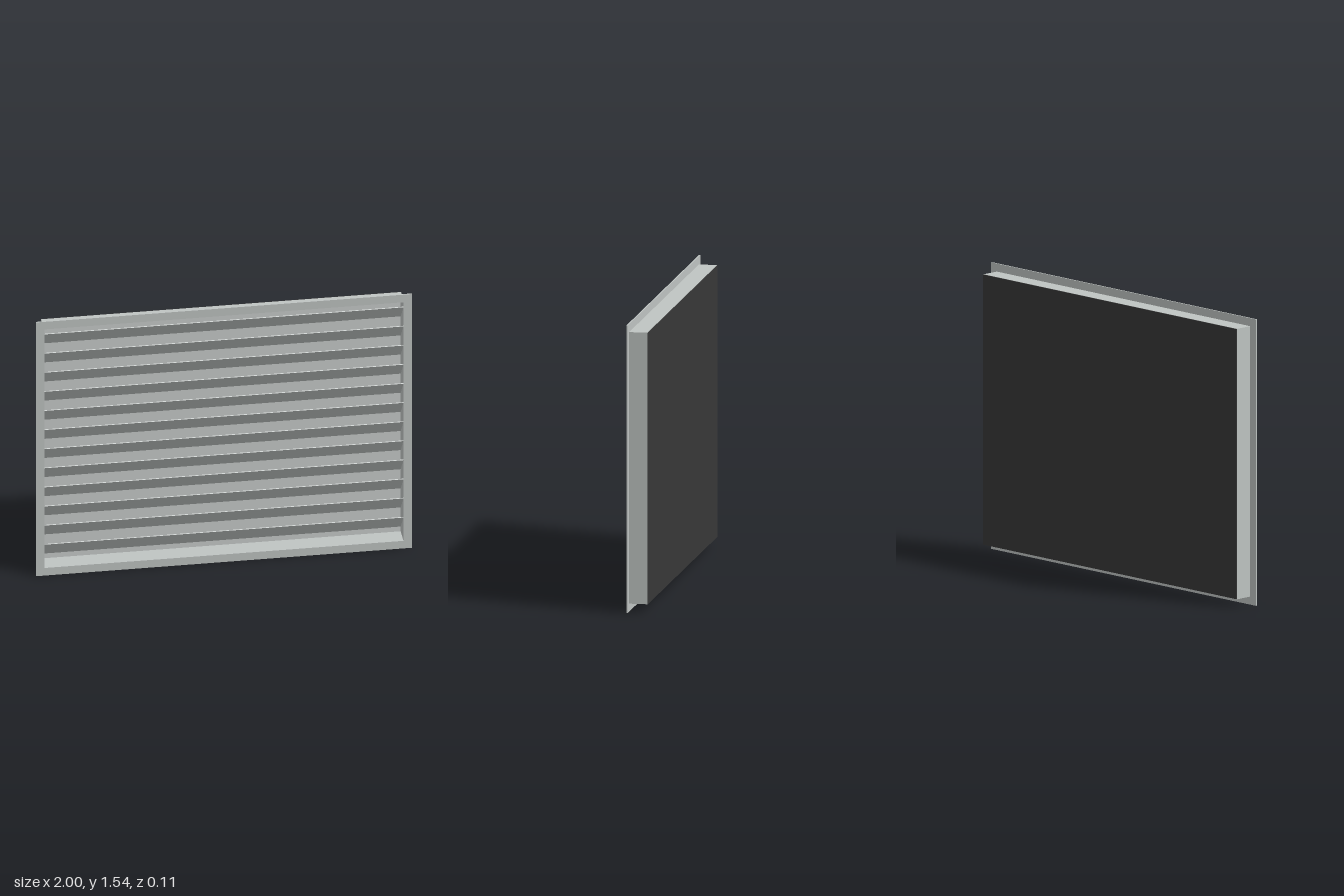
import * as THREE from 'three';

export function createModel() {
  const group = new THREE.Group();
  group.name = 'louverVent';

  const mat = (name, color) => {
    const m = new THREE.MeshStandardMaterial({ color });
    m.name = name;
    return m;
  };
  const metal = mat('paintedMetal', 0xbfc4c2);
  const liner = mat('paleLiner', 0xc8cccb);
  const dark = mat('darkBacking', 0x383838);

  const add = (name, geometry, material, x = 0, y = 0, z = 0) => {
    const mesh = new THREE.Mesh(geometry, material);
    mesh.name = name;
    mesh.position.set(x, y, z);
    group.add(mesh);
    return mesh;
  };

  const midY = 0.77;

  // Rectangular ring centred on the opening, extruded from z0 to z1
  const ring = (outW, outH, inW, inH, z0, z1) => {
    const rect = (Type, w, h) => new Type([
      new THREE.Vector2(-w, -h), new THREE.Vector2(w, -h),
      new THREE.Vector2(w, h), new THREE.Vector2(-w, h),
    ]);
    const shape = rect(THREE.Shape, outW, outH);
    shape.holes.push(rect(THREE.Path, inW, inH));
    const g = new THREE.ExtrudeGeometry(shape, { depth: z1 - z0, bevelEnabled: false });
    return g.translate(0, midY, z0);
  };

  // Front flange and the shallow sleeve behind it
  add('flange', ring(1, 0.77, 0.954, 0.724, 0.047, 0.054), metal);
  add('sleeve', ring(0.957, 0.727, 0.954, 0.724, -0.05, 0.047), metal);

  // Closed back: pale inside, dark outside
  add('backLiner', new THREE.BoxGeometry(1.908, 1.448, 0.002), liner, 0, midY, -0.049);
  add('backPanel', new THREE.BoxGeometry(1.912, 1.452, 0.004), dark, 0, midY, -0.052);

  // Slanted blades, upper edge to the front and lower edge to the back
  const count = 12, pitch = 0.116, rise = 0.108, run = 0.094, thick = 0.004;
  const bladeGeometry = new THREE.BoxGeometry(1.908, Math.hypot(rise, run), thick);
  for (let i = 0; i < count; i++) {
    const y = midY + ((count - 1) / 2 - i) * pitch;
    const blade = add('blade' + (i + 1), bladeGeometry, metal, 0, y, 0.001);
    blade.rotation.x = Math.atan2(run, rise);
  }

  return group;
}
